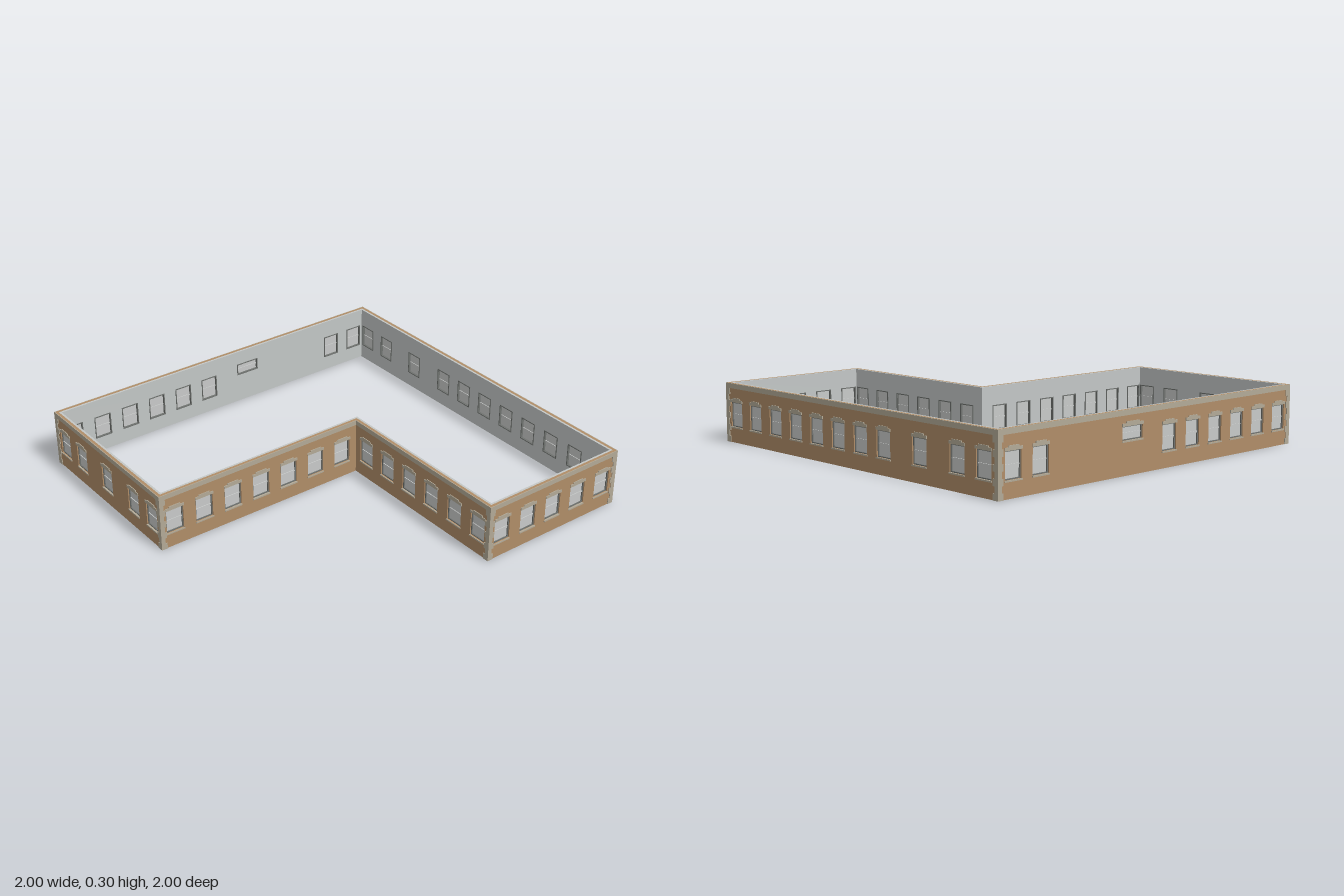
import * as THREE from 'three';

const mat = (name, color) => Object.assign(new THREE.MeshStandardMaterial({ color }), { name });
const BRICK = mat('tan brick', 0xb08d68);
const STONE = mat('pale stone', 0xb3aa97);
const PLASTER = mat('grey plaster', 0xc3c7c6);
const GLASS = mat('pale glass', 0xc8cac9);
const FRAME = mat('dark frame', 0x6f726f);

const T = 0.014;      // brick thickness
const U = 0.011;      // plaster thickness
const P = 0.004;      // trim projection
const H = 0.3;        // wall height
const W = 1 - P;      // brick face position

function box(parent, name, material, w, h, d, x, y, z) {
  const m = new THREE.Mesh(new THREE.BoxGeometry(w, h, d), material);
  m.name = name;
  m.position.set(x, y, z);
  parent.add(m);
}

// Rectangular slab with window holes, occupying z0 .. z0 + depth
function slab(parent, name, material, a, b, holes, z0, depth) {
  const rect = (target, x0, y0, x1, y1) => {
    target.moveTo(x0, y0);
    target.lineTo(x1, y0);
    target.lineTo(x1, y1);
    target.lineTo(x0, y1);
    target.closePath();
    return target;
  };
  const shape = rect(new THREE.Shape(), a, 0, b, H);
  for (const o of holes) {
    shape.holes.push(rect(new THREE.Path(), o.s - o.w / 2, o.y0, o.s + o.w / 2, o.y1));
  }
  const m = new THREE.Mesh(new THREE.ExtrudeGeometry(shape, { depth, bevelEnabled: false }), material);
  m.name = name;
  m.position.z = z0;
  parent.add(m);
}

// Sash window with frame, meeting rail, sill and stepped lintel
function addWindow(parent, { s, w, y0, y1 }) {
  const g = new THREE.Group();
  g.name = 'window';
  g.position.set(s, 0, 0);
  parent.add(g);
  const f = 0.005, h = y1 - y0, cy = (y0 + y1) / 2;
  const front = -0.006, back = -T - U - 0.003;
  const d = front - back, cz = (front + back) / 2;
  for (const side of [-1, 1]) {
    box(g, 'frameJamb', FRAME, f, h, d, side * (w - f) / 2, cy, cz);
    box(g, 'frameRail', FRAME, w, f, d, 0, cy + side * (h - f) / 2, cz);
  }
  box(g, 'glass', GLASS, w - 2 * f, h - 2 * f, 0.004, 0, cy, -0.014);
  box(g, 'meetingRail', GLASS, w - 2 * f, 0.006, 0.012, 0, cy, -0.014);
  box(g, 'sill', STONE, w + 0.006, 0.007, T + P, 0, y0 - 0.0035, (P - T) / 2);
  box(g, 'lintel', STONE, w + 0.006, 0.014, P, 0, y1 + 0.007, P / 2);
  box(g, 'lintelCrown', STONE, w * 0.65, 0.008, P, 0, y1 + 0.018, P / 2);
}

// One straight wall, local x along the wall and local z outward
function addWall(parent, name, a, b, concaveStart, concaveEnd, windows) {
  const g = new THREE.Group();
  g.name = name;
  const dx = b[0] - a[0], dz = b[1] - a[1];
  const len = Math.hypot(dx, dz);
  g.position.set(a[0], 0, a[1]);
  g.rotation.y = Math.atan2(-dz, dx);
  parent.add(g);

  const alongX = Math.abs(dx) > Math.abs(dz);
  const holes = windows.map(([c, w = 0.096, y0 = 0.08, y1 = 0.205]) => ({
    s: alongX ? (c - a[0]) * Math.sign(dx) : (c - a[1]) * Math.sign(dz), w, y0, y1,
  }));
  const grow = (concave, convexValue, concaveValue) => (concave ? concaveValue : convexValue);
  slab(g, 'brickSkin', BRICK, -grow(concaveStart, 0, T), len + grow(concaveEnd, 0, T), holes, -T, T);
  slab(g, 'plasterLining', PLASTER, -grow(concaveStart, -T, T + U),
    len + grow(concaveEnd, -T, T + U), holes, -T - U, U);
  holes.forEach((o) => addWindow(g, o));

  // Cornice band
  const c0 = -grow(concaveStart, P, 0), c1 = len + grow(concaveEnd, P, 0);
  box(g, 'cornice', STONE, c1 - c0, 0.025, P, (c0 + c1) / 2, H - 0.0125, P / 2);

  // Toothed corner stones on outside corners
  const rows = 9, rowH = (H - 0.025) / rows;
  for (let i = 0; i < rows; i++) {
    const q = (i % 2 ? 0.018 : 0.028) + P;
    const y = (i + 0.5) * rowH;
    if (!concaveStart) box(g, 'cornerStone', STONE, q, rowH, P, q / 2 - P, y, P / 2);
    if (!concaveEnd) box(g, 'cornerStone', STONE, q, rowH, P, len + P - q / 2, y, P / 2);
  }
}

export function createModel() {
  const model = new THREE.Group();
  model.name = 'buildingStorey';

  const X0 = 0.165 + P, Z0 = -P;   // inner corner of the L plan
  const corners = [[-W, -W], [-W, Z0], [X0, Z0], [X0, W], [W, W], [W, -W]];
  const list = (...v) => v.map((c) => [c]);
  const rear = [-0.083, -0.249, -0.497, -0.743, -0.909];
  const wing = [0.914, 0.749, 0.58, 0.414, 0.248, 0.082];

  const walls = [
    ['rightEndWall', list(...rear)],
    ['recessedFrontWall', list(-0.917, -0.751, -0.586, -0.42, -0.254, -0.088, 0.078)],
    ['wingInnerWall', list(...wing)],
    ['wingFrontWall', list(0.249, 0.414, 0.577, 0.74, 0.908)],
    ['leftLongWall', list(...wing, ...rear)],
    ['backWall', [...list(-0.909, -0.744, -0.58, -0.415, -0.249, -0.083, 0.748, 0.909),
      [0.169, 0.135, 0.16, 0.225]]],
  ];
  walls.forEach(([name, windows], i) => {
    addWall(model, name, corners[i], corners[(i + 1) % 6], i === 2, i === 1, windows);
  });
  return model;
}
